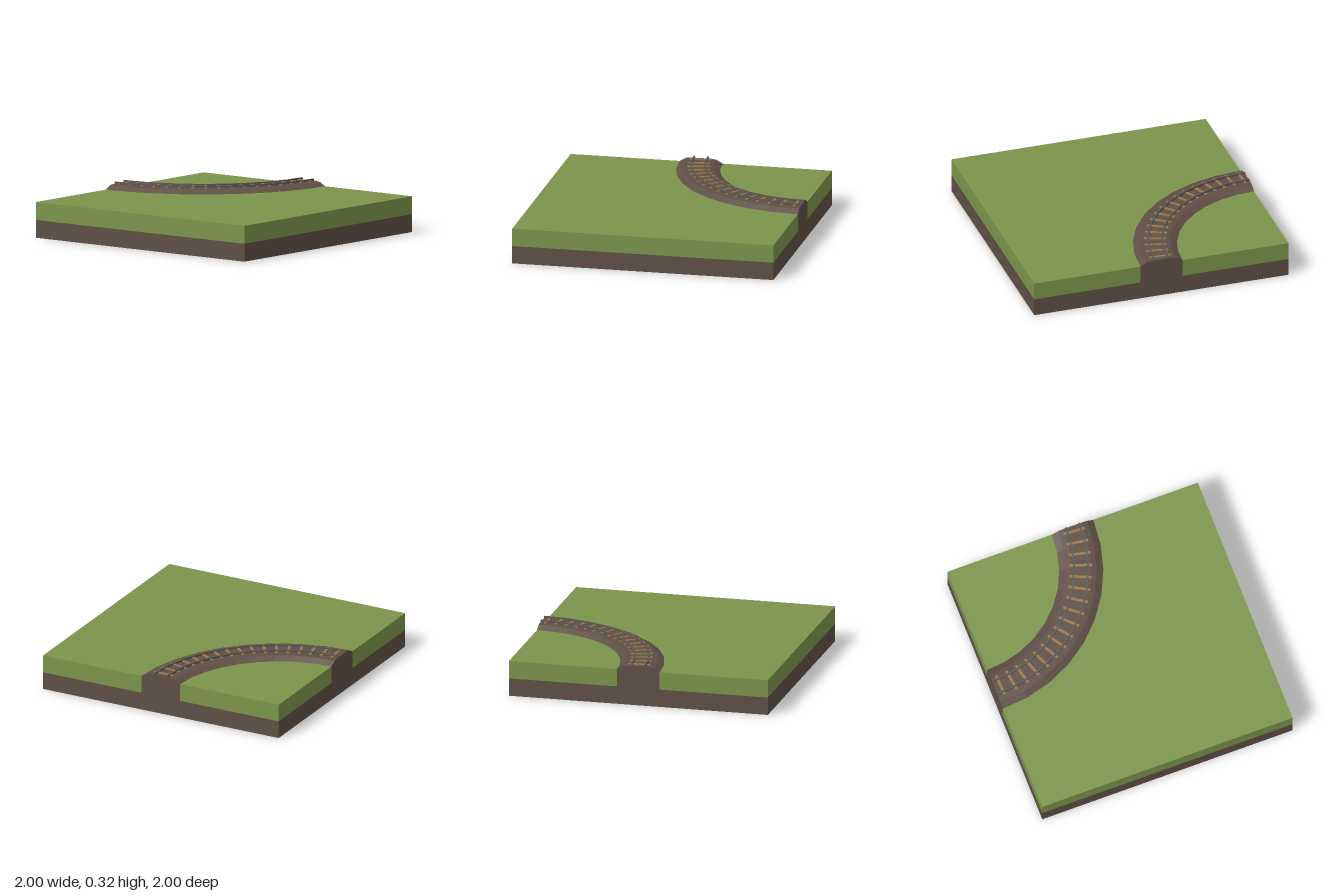
import * as THREE from 'three';

const GRASS_Y = 0.27, SOIL_Y = 0.135, HALF = 0.165, STEPS = 9;

const material = (color) =>
  new THREE.MeshStandardMaterial({ color, flatShading: true, side: THREE.DoubleSide });

export function createModel() {
  const model = new THREE.Group();
  const grass = material(0x7b944a);
  const soil = material(0x5f4f46);
  const wood = material(0x9a774a);
  const steel = material(0x5c5755);

  const add = (name, geometry, mat, parent = model) => {
    const mesh = new THREE.Mesh(geometry, mat);
    mesh.name = name;
    parent.add(mesh);
    return mesh;
  };
  const flat = (pts) =>
    new THREE.ShapeGeometry(new THREE.Shape(pts.map(([x, y]) => new THREE.Vector2(x, y))));

  // Arc around the tile corner (1, -1), as [x, -z] points
  const arc = (r) => Array.from({ length: STEPS + 1 }, (_, i) => {
    const a = (i / STEPS) * Math.PI / 2;
    return [1 - r * Math.cos(a), 1 - r * Math.sin(a)];
  });

  // Sweeps a [radius, y] profile along the quarter curve
  const sweep = (profile) => new THREE.LatheGeometry(
    profile.map(([r, y]) => new THREE.Vector2(r, y)), STEPS, Math.PI * 1.5, Math.PI / 2,
  ).translate(1, 0, -1);

  // Closes a swept profile on the back and side edges of the tile
  const addCaps = (name, profile, mat, parent) => {
    add(name + 'BackEnd', flat(profile).rotateY(Math.PI).translate(1, 0, -1), mat, parent);
    add(name + 'SideEnd', flat(profile.map(([r, y]) => [-r, y]))
      .rotateY(Math.PI / 2).translate(1, 0, -1), mat, parent);
  };

  // Grass top, split by the track bed
  const outer = [...arc(1 + HALF), [1, -1], [-1, -1], [-1, 1]];
  const inner = [...arc(1 - HALF), [1, 1]];
  for (const [name, pts] of [['grassOuter', outer], ['grassInner', inner]]) {
    add(name, flat(pts).rotateX(-Math.PI / 2).translate(0, GRASS_Y, 0), grass);
  }

  // Tile walls, open underneath; the back and left walls leave a gap for the bed
  const wall = (name, angle, x0, x1, y0, y1, mat) =>
    add(name, new THREE.PlaneGeometry(x1 - x0, y1 - y0)
      .translate((x0 + x1) / 2, (y0 + y1) / 2, 1).rotateY(angle), mat);
  ['front', 'left', 'back', 'right'].forEach((side, i) => {
    const angle = i * Math.PI / 2;
    wall(side + 'SoilWall', angle, -1, 1, 0, SOIL_Y, soil);
    const spans = side === 'left' || side === 'back' ? [[-1, -HALF], [HALF, 1]] : [[-1, 1]];
    for (const [a, b] of spans) wall(side + 'GrassWall', angle, a, b, SOIL_Y, GRASS_Y, grass);
  });

  // Raised track bed
  const bed = [
    [1 + HALF, GRASS_Y], [1.115, 0.298], [1.075, 0.303],
    [0.925, 0.303], [0.885, 0.298], [1 - HALF, GRASS_Y],
  ];
  add('trackBed', sweep(bed), soil);
  addCaps('trackBed', [[1 + HALF, SOIL_Y], ...bed, [1 - HALF, SOIL_Y]], soil, model);

  // Rails
  for (const [name, r] of [['outerRail', 1.053], ['innerRail', 0.947]]) {
    const rail = new THREE.Group();
    rail.name = name;
    const w = 0.007;
    const profile = [[r + w, 0.3], [r + w, 0.318], [r - w, 0.318], [r - w, 0.3], [r + w, 0.3]];
    add(name + 'Bar', sweep(profile), steel, rail);
    addCaps(name, profile.slice(0, 4), steel, rail);
    model.add(rail);
  }

  // Sleepers, laid radially
  const sleepers = new THREE.Group();
  sleepers.name = 'sleepers';
  const count = 17;
  for (let i = 0; i < count; i++) {
    const a = ((i + 0.5) / count) * Math.PI / 2;
    const sleeper = add('sleeper', new THREE.BoxGeometry(0.165, 0.012, 0.02), wood, sleepers);
    sleeper.position.set(1 - 0.997 * Math.cos(a), 0.304, -1 + 0.997 * Math.sin(a));
    sleeper.rotation.y = a;
  }
  model.add(sleepers);

  return model;
}
